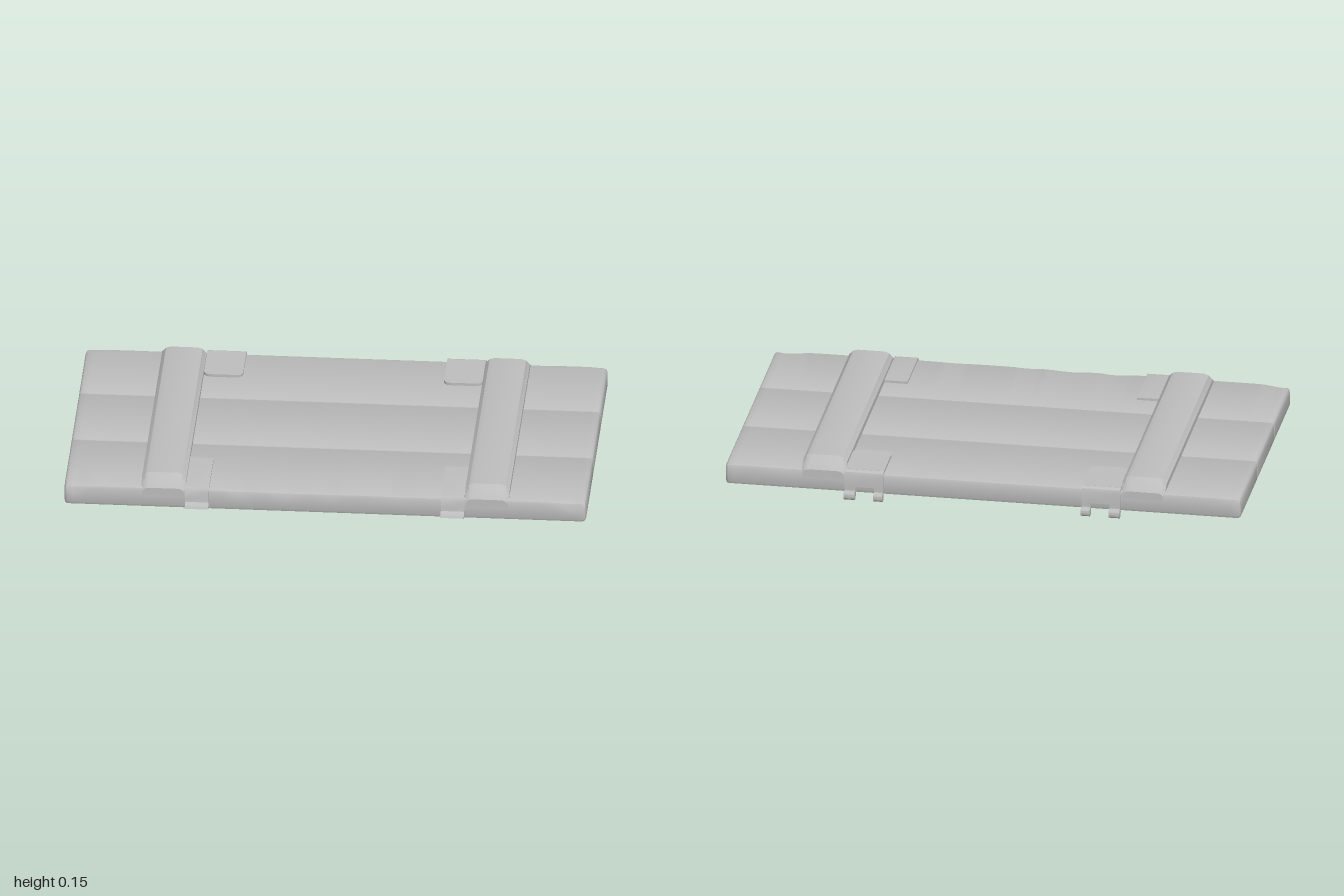
import * as THREE from 'three';
import { toCreasedNormals } from 'three/addons/utils/BufferGeometryUtils.js';

const grey = new THREE.MeshStandardMaterial({ color: 0xbcbcbc });
grey.name = 'plain grey';

function part(name, geometry, crease = 0.6) {
  const mesh = new THREE.Mesh(toCreasedNormals(geometry, crease), grey);
  mesh.name = name;
  return mesh;
}

// Skin over rings of [y, z] points placed along x, with closed ends.
function loft(stations) {
  const pos = [], idx = [], n = stations[0].ring.length;
  for (const { x, ring } of stations) for (const [y, z] of ring) pos.push(x, y, z);
  for (let i = 0; i < stations.length - 1; i++) {
    for (let j = 0; j < n; j++) {
      const a = i * n + j, b = i * n + (j + 1) % n;
      idx.push(a, b, b + n, a, b + n, a + n);
    }
  }
  const last = (stations.length - 1) * n;
  for (let j = 1; j < n - 1; j++) {
    idx.push(0, j + 1, j, last, last + j, last + j + 1);
  }
  const g = new THREE.BufferGeometry();
  g.setAttribute('position', new THREE.Float32BufferAttribute(pos, 3));
  g.setIndex(idx);
  return g;
}

// Rectangle with softened corners; bevels run top-back, top-front, bottom-front, bottom-back.
function softRing(y0, y1, z0, z1, bevels) {
  const corners = [[y1, z0, -1, 1], [y1, z1, -1, -1], [y0, z1, 1, -1], [y0, z0, 1, 1]];
  const ring = [];
  corners.forEach(([y, z, sy, sz], k) => {
    const c = bevels[k];
    const pts = [[c, 0], [0.3 * c, 0.3 * c], [0, c]].map(([dy, dz]) => [y + sy * dy, z + sz * dz]);
    ring.push(...(k % 2 ? pts.reverse() : pts));
  });
  return ring;
}

// Chips along an edge: [centre, half width, depth].
const frontChips = [[-0.97, 0.05, 0.022], [-0.32, 0.045, 0.014], [-0.15, 0.07, 0.012],
  [0.02, 0.04, 0.007], [0.3, 0.06, 0.004], [0.95, 0.06, 0.022]];
const backChips = [[-0.97, 0.04, 0.008], [0.75, 0.06, 0.005], [0.98, 0.03, 0.008]];
const wear = (x, chips) => chips.reduce((s, [c, w, d]) => s + d * Math.exp(-(((x - c) / w) ** 2)), 0);

function plank(z0, z1, isBack, isFront) {
  const stations = [], steps = 90, y0 = 0.02, y1 = 0.105, seam = 0.005;
  const add = (x, inset) => stations.push({
    x,
    ring: softRing(y0 + inset, y1 - inset, z0 + inset * (isBack ? 1 : 0.4), z1 - inset * (isFront ? 1 : 0.4), [
      isBack ? 0.014 + wear(x, backChips) : seam,
      isFront ? 0.011 + wear(x, frontChips) : seam,
      isFront ? 0.014 : seam,
      isBack ? 0.014 : seam,
    ]),
  });
  add(-1, 0.012);
  add(-0.996, 0.004);
  for (let i = 0; i <= steps; i++) add(-0.988 + 1.976 * i / steps, 0);
  add(0.996, 0.004);
  add(1, 0.012);
  return loft(stations);
}

// Cross batten with chamfered top edges and sloping ends.
function batten() {
  const ring = (top, half, c) => [
    [top, -half + c], [top, half - c], [top - c * 0.18, half - c * 0.45], [top - c * 0.65, half],
    [0.075, half], [0.075, -half], [top - c * 0.65, -half], [top - c * 0.18, -half + c * 0.45],
  ];
  const ends = [[0.56, 0.106, 0.079, 0.02], [0.552, 0.117, 0.084, 0.027],
    [0.53, 0.135, 0.085, 0.031], [0.51, 0.149, 0.085, 0.033]];
  const stations = [
    ...ends.map(([x, ...r]) => ({ x: -x, ring: ring(...r) })),
    ...ends.slice().reverse().map(([x, ...r]) => ({ x, ring: ring(...r) })),
  ];
  return loft(stations).rotateY(Math.PI / 2).translate(0, 0, -0.006);
}

// Bent metal strip following [z, y] points, centred on x = 0.
function strip(path, thick, width) {
  const p = path.map(([z, y]) => new THREE.Vector2(z, y));
  const side = s => p.map((v, i) => {
    const t = p[Math.min(i + 1, p.length - 1)].clone().sub(p[Math.max(i - 1, 0)]).normalize();
    return new THREE.Vector2(v.x - t.y * s, v.y + t.x * s);
  });
  const shape = new THREE.Shape([...side(thick / 2), ...side(-thick / 2).reverse()]);
  return new THREE.ExtrudeGeometry(shape, { depth: width, bevelEnabled: false })
    .translate(0, 0, -width / 2).rotateY(-Math.PI / 2);
}

function frontCatch() {
  return part('catchStrap', strip([
    [0.31, 0.11], [0.54, 0.11], [0.551, 0.107], [0.557, 0.098], [0.558, 0.065],
    [0.56, 0.054], [0.567, 0.048], [0.577, 0.045], [0.587, 0.043], [0.596, 0.048],
  ], 0.009, 0.09));
}

function backHinge() {
  const group = new THREE.Group();
  const w = 0.075, r = 0.03;
  // Flat leaf with rounded inner corners
  const s = new THREE.Shape();
  s.moveTo(-w, 0.556);
  s.lineTo(-w, 0.365 + r);
  s.quadraticCurveTo(-w, 0.365, -w + r, 0.365);
  s.lineTo(w - r, 0.365);
  s.quadraticCurveTo(w, 0.365, w, 0.365 + r);
  s.lineTo(w, 0.556);
  const leaf = new THREE.ExtrudeGeometry(s, { depth: 0.012, bevelEnabled: false, curveSegments: 6 })
    .rotateX(-Math.PI / 2).translate(0, 0.104, 0);
  group.add(part('hingeLeaf', leaf));
  // Folded edge over the back of the lid
  group.add(part('hingeFold', strip([
    [-0.55, 0.111], [-0.56, 0.11], [-0.568, 0.106], [-0.571, 0.097], [-0.571, 0.05],
  ], 0.01, 2 * w)));
  // Tabs and rolled knuckles
  for (const [x, width] of [[-0.0575, 0.035], [0.054, 0.042]]) {
    const tab = part('hingeTab', new THREE.BoxGeometry(width, 0.04, 0.01));
    tab.position.set(x, 0.035, -0.571);
    const knuckle = part('hingeKnuckle',
      new THREE.CylinderGeometry(0.018, 0.018, width, 16).rotateZ(Math.PI / 2));
    knuckle.position.set(x, 0.018, -0.582);
    group.add(tab, knuckle);
  }
  return group;
}

export function createModel() {
  const lid = new THREE.Group();
  lid.name = 'crateLid';

  lid.add(part('backPlank', plank(-0.565, -0.193, true, false), 0.7));
  lid.add(part('middlePlank', plank(-0.191, 0.181, false, false), 0.7));
  lid.add(part('frontPlank', plank(0.183, 0.553, false, true), 0.7));

  for (const side of [-1, 1]) {
    const label = side > 0 ? 'left' : 'right';
    const bar = part(label + 'Batten', batten(), 0.45);
    bar.position.x = side * 0.62;

    const strap = frontCatch();
    strap.name = label + 'Catch';
    strap.position.x = side * 0.49;

    const hinge = backHinge();
    hinge.name = label + 'Hinge';
    hinge.position.x = side * 0.46;
    // Wider knuckle sits beside the batten on both sides
    if (side < 0) hinge.children.forEach(m => { m.position.x *= -1; });

    lid.add(bar, strap, hinge);
  }
  return lid;
}
